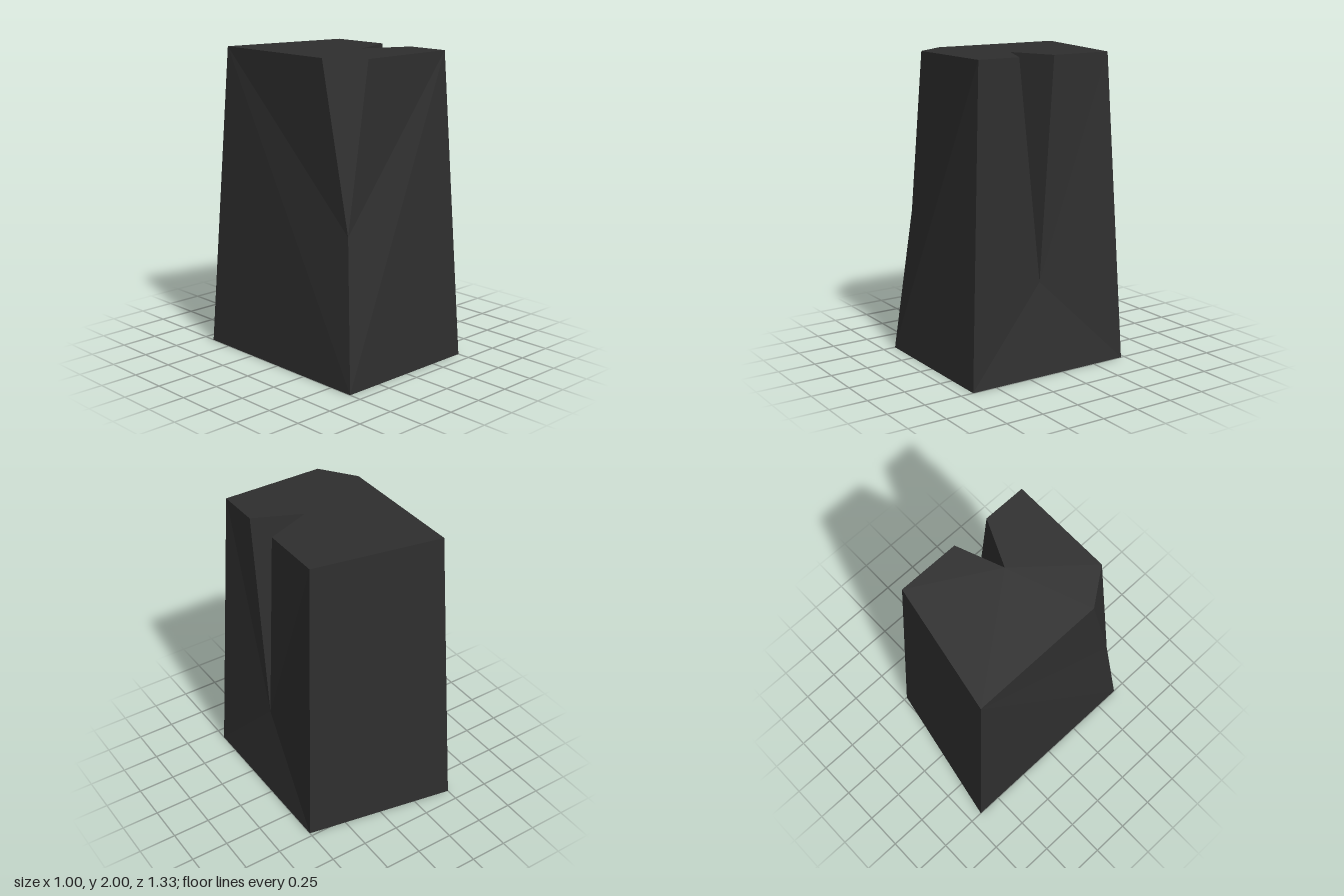
import * as THREE from 'three';

export function createModel() {
  const model = new THREE.Group();
  model.name = 'notchedBlock';
  const charcoal = new THREE.MeshStandardMaterial({ color: 0x2e2e2e, flatShading: true });
  charcoal.name = 'charcoal';

  // Corners: base, top, chipped front-right corner and wedge notch
  const P = {
    baseFR: [-0.5, 0, 0.665], baseFL: [0.5, 0, 0.665],
    baseBL: [0.5, 0, -0.475], baseBR: [-0.5, 0, -0.665],
    topFL: [0.418, 2, 0.56], topBL: [0.418, 2, -0.387], topBR: [-0.418, 2, -0.546],
    chipSide: [-0.418, 2, 0.335], chipFront: [-0.255, 2, 0.56], chipLow: [-0.418, 0.95, 0.56],
    notchFront: [0.418, 2, 0.275], notchBack: [0.418, 2, 0.02],
    notchIn: [0.115, 2, 0.137], notchLow: [0.418, 0.59, 0.122],
  };

  // Each face is a fan of triangles around its first corner
  function addPart(name, faces) {
    const pos = [];
    for (const face of faces) {
      const c = face.split(' ').map((k) => P[k]);
      for (let i = 1; i < c.length - 1; i++) pos.push(...c[0], ...c[i], ...c[i + 1]);
    }
    const geo = new THREE.BufferGeometry();
    geo.setAttribute('position', new THREE.Float32BufferAttribute(pos, 3));
    geo.computeVertexNormals();
    const mesh = new THREE.Mesh(geo, charcoal);
    mesh.name = name;
    model.add(mesh);
  }

  addPart('topFace', ['notchIn notchBack topBL topBR chipSide chipFront topFL notchFront']);
  addPart('baseFace', ['baseFR baseBR baseBL baseFL']);
  addPart('frontFace', ['baseFR baseFL topFL', 'baseFR topFL chipLow', 'chipLow topFL chipFront']);
  addPart('backFace', ['baseBL baseBR topBR topBL']);
  addPart('leftFace', ['notchLow baseFL baseBL topBL notchBack', 'notchLow notchFront topFL baseFL']);
  addPart('rightFace', ['topBR baseBR baseFR chipLow chipSide']);
  addPart('cornerChip', ['chipSide chipLow chipFront']);
  addPart('wedgeNotch', ['notchFront notchLow notchIn', 'notchLow notchBack notchIn']);
  return model;
}
